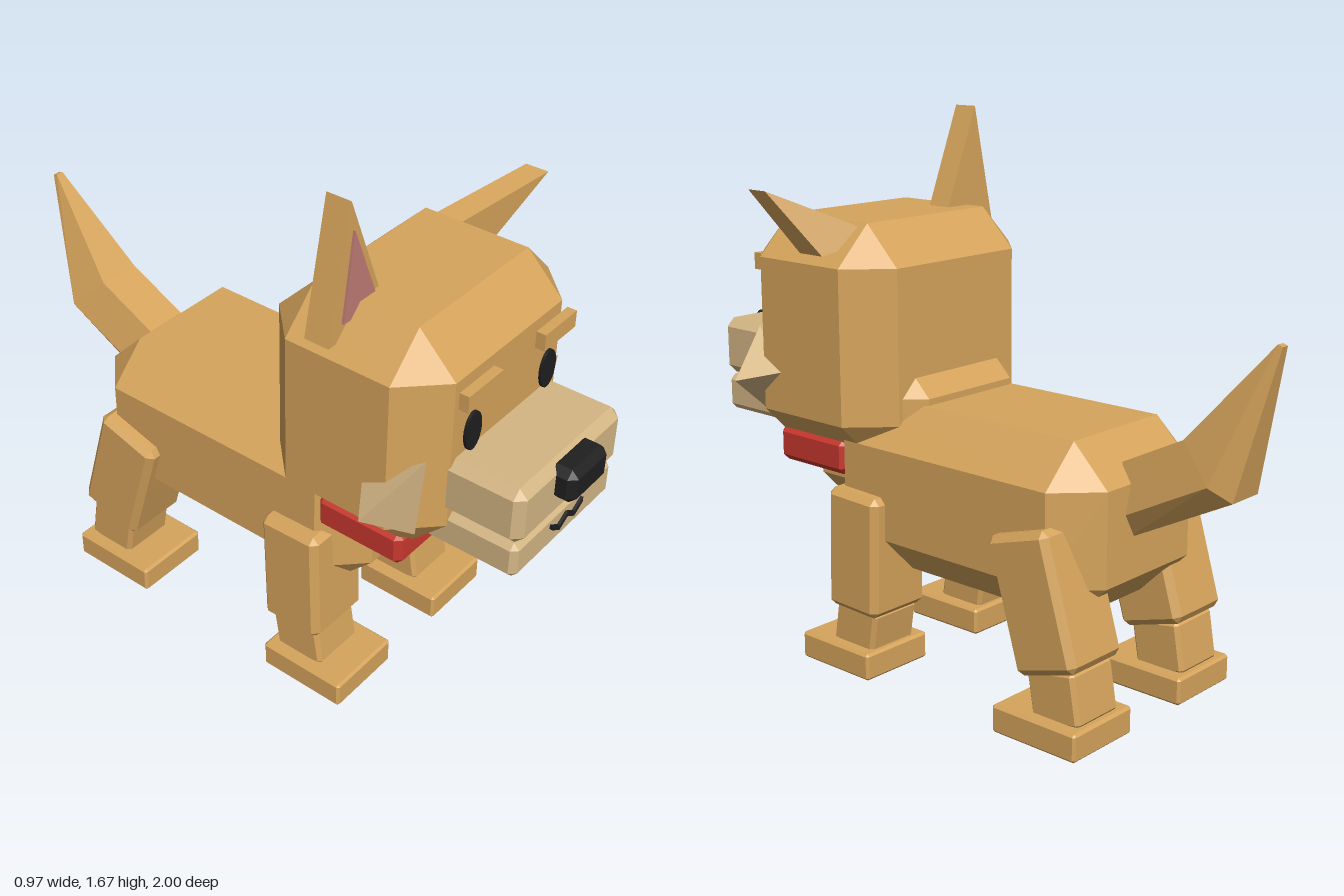
import * as THREE from 'three';
import { ConvexGeometry } from 'three/addons/geometries/ConvexGeometry.js';

const material = (name, color) => {
  const m = new THREE.MeshStandardMaterial({ color });
  m.name = name;
  return m;
};

export function createModel() {
  const model = new THREE.Group();
  model.name = 'blockDog';
  const tan = material('tan fur', 0xd6a45c);
  const cream = material('cream fur', 0xd4b684);
  const red = material('red collar', 0xc8382e);
  const black = material('black', 0x1f1f1f);
  const pink = material('pink inner ear', 0xc07c74);

  const add = (name, geometry, mat, parent = model) => {
    const mesh = new THREE.Mesh(geometry, mat);
    mesh.name = name;
    parent.add(mesh);
    return mesh;
  };

  // Solid through a handful of corner points
  const hull = (name, points, mat, parent) =>
    add(name, new ConvexGeometry(points.map((p) => new THREE.Vector3(...p))), mat, parent);

  // Box with all edges and corners cut at 45 degrees, given by its extents
  const block = (name, [x0, x1], [y0, y1], [z0, z1], cut, mat, parent) => {
    const half = [(x1 - x0) / 2, (y1 - y0) / 2, (z1 - z0) / 2];
    const points = [];
    for (const sx of [-1, 1]) for (const sy of [-1, 1]) for (const sz of [-1, 1]) {
      const s = [sx, sy, sz];
      for (let full = 0; full < 3; full++) {
        points.push(half.map((h, i) => s[i] * (i === full ? h : h - cut)));
      }
    }
    const mesh = hull(name, points, mat, parent);
    mesh.position.set((x0 + x1) / 2, (y0 + y1) / 2, (z0 + z1) / 2);
    return mesh;
  };

  // Body, neck and collar
  block('body', [-0.31, 0.31], [0.32, 0.84], [-0.59, 0.435], 0.12, tan);
  block('neck', [-0.24, 0.24], [0.51, 0.92], [0.085, 0.55], 0.06, tan);
  block('collar', [-0.31, 0.31], [0.603, 0.715], [0.32, 0.613], 0.02, red);

  // Head and muzzle
  block('head', [-0.37, 0.37], [0.66, 1.37], [0.14, 0.72], 0.12, tan);
  block('upperMuzzle', [-0.255, 0.25], [0.82, 1.0], [0.6, 0.945], 0.027, cream);
  block('lowerJaw', [-0.245, 0.245], [0.70, 0.815], [0.6, 0.935], 0.018, cream);
  block('nose', [-0.093, 0.09], [0.885, 0.993], [0.91, 1.0], 0.022, black);

  // Mouth: a thin zigzag stroke
  const zig = [[-0.078, 0.781], [-0.038, 0.756], [0, 0.779], [0.038, 0.756], [0.078, 0.781]];
  const t = 0.008;
  const stroke = [
    ...zig.map(([x, y]) => new THREE.Vector2(x, y - t)),
    ...zig.map(([x, y]) => new THREE.Vector2(x, y + t)).reverse(),
  ];
  add('mouth', new THREE.ExtrudeGeometry(new THREE.Shape(stroke), { depth: 0.009, bevelEnabled: false }), black)
    .position.z = 0.936;

  // Eyes, brows and cheek tufts on both sides
  for (const s of [-1, 1]) {
    const side = s > 0 ? 'left' : 'right';
    const eye = add(side + 'Eye', new THREE.CylinderGeometry(1, 1, 0.009, 24), black);
    eye.geometry.scale(0.037, 1, 0.061).rotateX(Math.PI / 2);
    eye.position.set(s * 0.18, 1.07, 0.735);
    add(side + 'Brow', new THREE.BoxGeometry(0.155, 0.052, 0.03), tan)
      .position.set(s * 0.178, 1.206, 0.75);
    hull(side + 'CheekTuft', [
      [s * 0.485, 0.887, 0.6], [s * 0.31, 1.02, 0.685], [s * 0.31, 0.757, 0.66],
      [s * 0.365, 0.905, 0.52], [s * 0.28, 0.89, 0.62],
    ], cream);
  }

  // Upright right ear with its inner face
  const earOutline = [[-0.285, 1.675], [-0.37, 1.28], [-0.125, 1.28]];
  hull('rightEar', earOutline.flatMap(([x, y]) => [[x, y, 0.405], [x, y, 0.325]]), tan);
  const innerOutline = [[-0.277, 1.59], [-0.317, 1.332], [-0.17, 1.332]];
  hull('rightInnerEar', innerOutline.flatMap(([x, y]) => [[x, y, 0.413], [x, y, 0.405]]), pink);

  // Left ear, flopped outward and forward
  hull('leftEar', [
    [0.485, 1.47, 0.505], [0.485, 1.47, 0.432],
    [0.37, 1.28, 0.42], [0.37, 1.28, 0.325],
    [0.2, 1.33, 0.34], [0.2, 1.33, 0.25],
  ], tan);

  // Legs: thigh, shin and paw, tilted about x
  for (const s of [-1, 1]) {
    const side = s > 0 ? 'left' : 'right';
    const legPart = (name, width, y, z, height, depth, tilt, cut) => {
      const x = s * 0.242;
      const mesh = block(name, [x - width / 2, x + width / 2], [y - height / 2, y + height / 2],
        [z - depth / 2, z + depth / 2], cut, tan);
      mesh.rotation.x = tilt;
    };
    legPart(side + 'FrontThigh', 0.225, 0.385, 0.253, 0.38, 0.207, -0.03, 0.02);
    legPart(side + 'FrontShin', 0.18, 0.14, 0.267, 0.15, 0.17, -0.16, 0.012);
    legPart(side + 'FrontPaw', 0.257, 0.0425, 0.315, 0.085, 0.29, 0, 0.008);
    legPart(side + 'BackThigh', 0.225, 0.405, -0.45, 0.4, 0.222, 0.29, 0.02);
    legPart(side + 'BackShin', 0.18, 0.145, -0.517, 0.16, 0.17, 0.17, 0.012);
    legPart(side + 'BackPaw', 0.257, 0.0425, -0.48, 0.085, 0.3, 0, 0.008);
  }

  // Tail: two faceted segments through three cross-sections
  const section = (rows) => rows.flatMap(([x, y, z]) => [[x, y, z], [-x, y, z]]);
  const root = section([[0.07, 0.77, -0.545], [0.11, 0.63, -0.58], [0.07, 0.555, -0.57]]);
  const bend = section([[0.07, 0.87, -0.745], [0.11, 0.768, -0.85], [0.06, 0.722, -0.9]]);
  const tip = section([[0.012, 1.155, -0.985], [0.012, 1.15, -1.0]]);
  const tail = new THREE.Group();
  tail.name = 'tail';
  model.add(tail);
  hull('tailBase', [...root, ...bend], tan, tail);
  hull('tailTip', [...bend, ...tip], tan, tail);

  return model;
}
